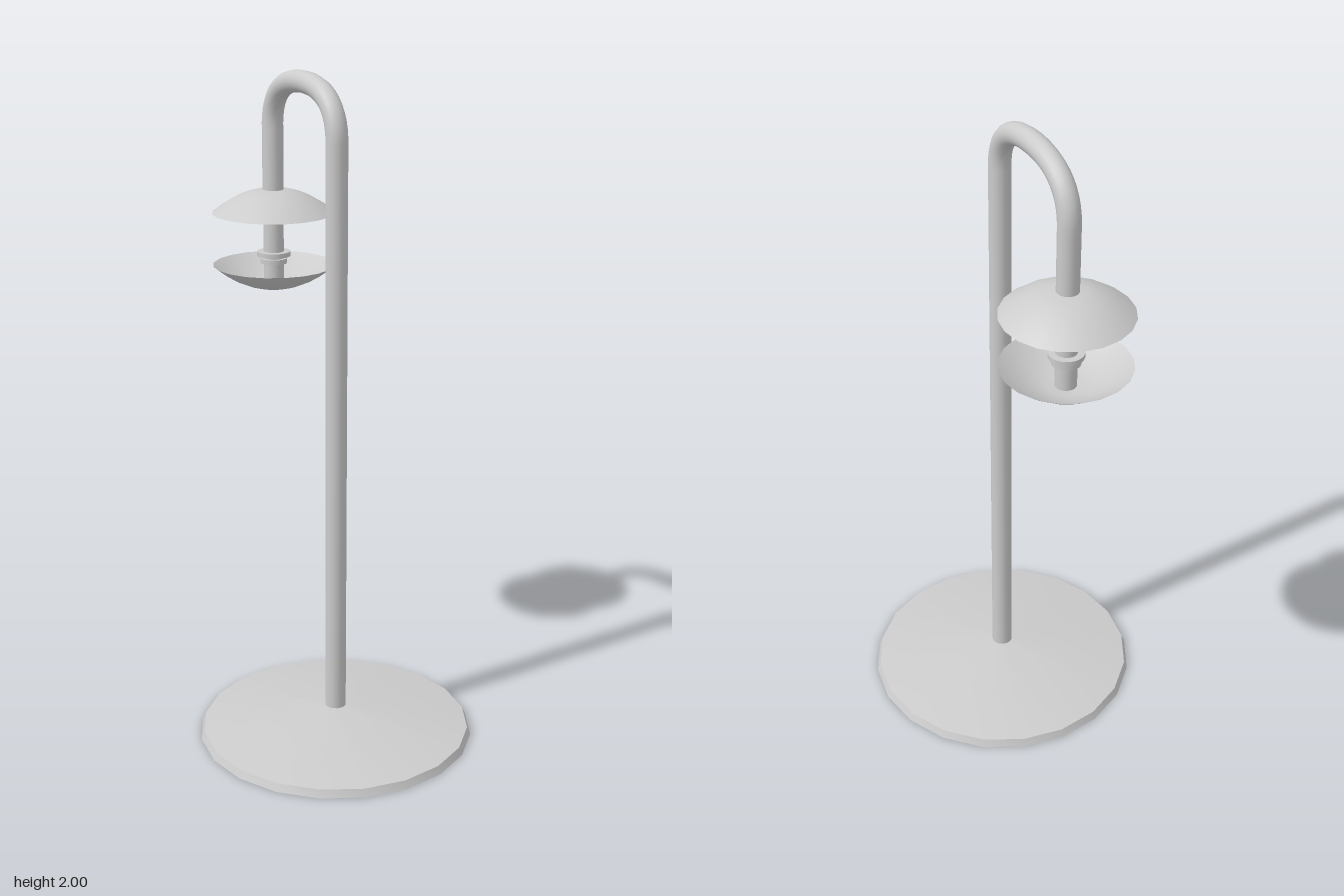
import * as THREE from 'three';
import { toCreasedNormals } from 'three/addons/utils/BufferGeometryUtils.js';

const POLE_Z = 0.076, LAMP_Z = -0.308, PIPE_R = 0.032;

export function createModel() {
  const model = new THREE.Group();
  model.name = 'tableLamp';
  const grey = new THREE.MeshStandardMaterial({ color: 0xcccccc });
  const thin = new THREE.MeshStandardMaterial({ color: 0xcccccc, side: THREE.DoubleSide });

  function add(name, geometry, material, z = 0) {
    const mesh = new THREE.Mesh(geometry, material);
    mesh.name = name;
    mesh.position.z = z;
    model.add(mesh);
    return mesh;
  }
  const lathe = (points, sides) =>
    new THREE.LatheGeometry(points.map(([r, y]) => new THREE.Vector2(r, y)), sides);
  const disc = (name, r, y0, y1) => add(name,
    new THREE.CylinderGeometry(r, r, y1 - y0, 20).translate(0, (y0 + y1) / 2, 0), grey, LAMP_Z);

  // Shallow conical foot with a bevelled rim
  const foot = lathe([[0, 0], [0.42, 0], [0.41, 0.023], [PIPE_R, 0.08], [0, 0.08]], 20);
  add('base', toCreasedNormals(foot, 0.5), grey, POLE_Z);

  // Pole, flattened arch and drop as one continuous pipe
  const v = (y, z) => new THREE.Vector3(0, y, z);
  const midZ = (POLE_Z + LAMP_Z) / 2, spring = 1.82, crown = 2 - PIPE_R;
  const arch = [
    new THREE.CubicBezierCurve3(v(spring, POLE_Z), v(1.92, POLE_Z), v(crown, midZ + 0.12), v(crown, midZ)),
    new THREE.CubicBezierCurve3(v(crown, midZ), v(crown, midZ - 0.12), v(1.92, LAMP_Z), v(spring, LAMP_Z)),
  ];
  const path = new THREE.CurvePath();
  path.add(new THREE.LineCurve3(v(0.05, POLE_Z), v(spring, POLE_Z)));
  arch.forEach((curve) => path.add(curve));
  path.add(new THREE.LineCurve3(v(spring, LAMP_Z), v(1.62, LAMP_Z)));
  add('pole', new THREE.TubeGeometry(path, 120, PIPE_R, 16), thin);

  // Facing shades: a dome above and its mirrored bowl below
  const dome = [[0.186, 0.08], [0.155, 0.103], [0.118, 0.125], [0.085, 0.139], [0.05, 0.149], [0, 0.152]];
  add('upperShade', lathe(dome, 20), thin, LAMP_Z).position.y = 1.48;
  const bowl = dome.map(([r, y]) => [r, -y]).reverse();
  add('lowerShade', lathe(bowl, 20), thin, LAMP_Z).position.y = 1.48;

  // Stem and collars between the shades
  disc('stem', 0.031, 1.335, 1.625);
  disc('upperCollar', 0.051, 1.535, 1.55);
  disc('lowerCollar', 0.051, 1.427, 1.441);
  disc('lowerCollarStep', 0.041, 1.405, 1.42);

  return model;
}
